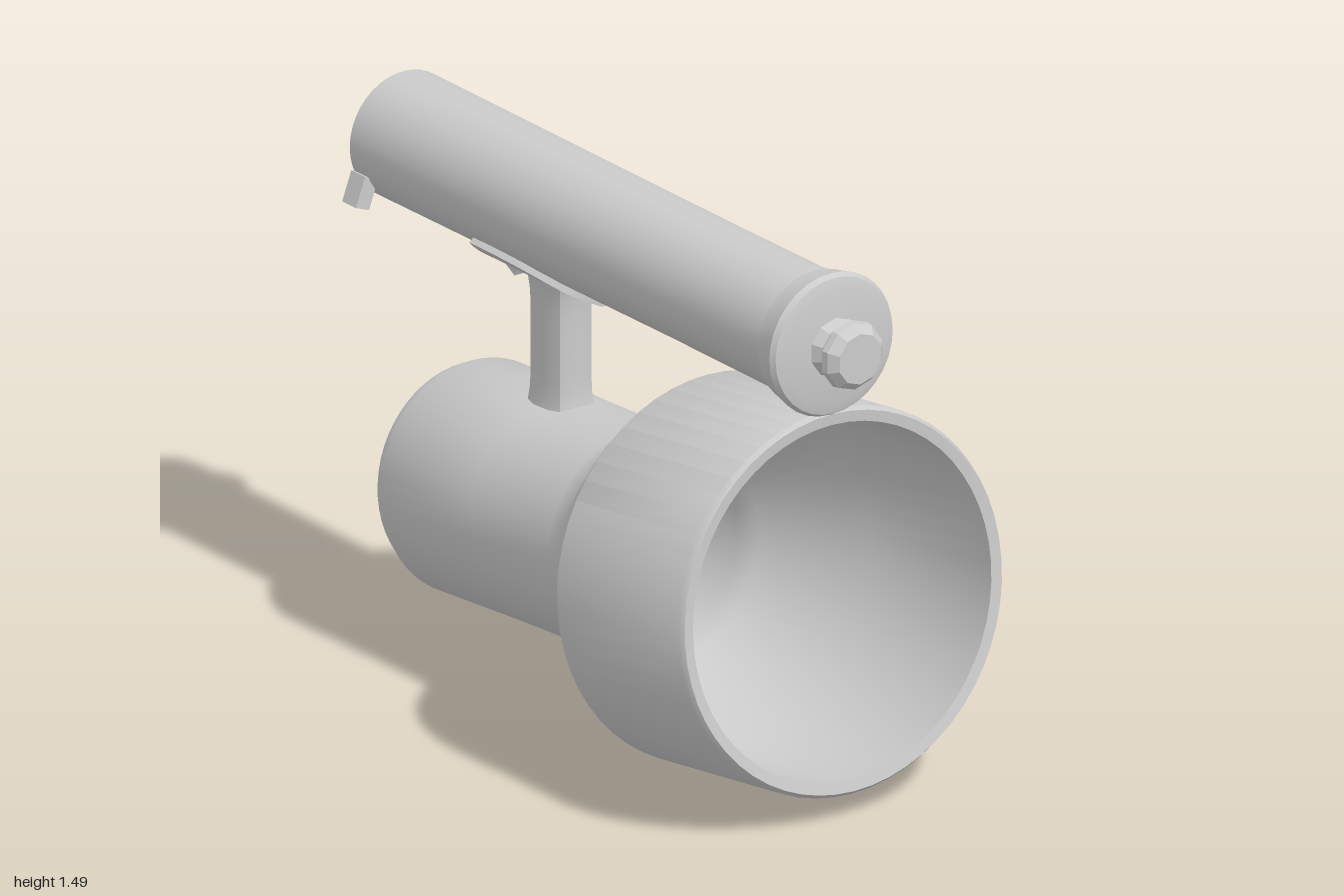
import * as THREE from 'three';
import { toCreasedNormals } from 'three/addons/utils/BufferGeometryUtils.js';

const material = new THREE.MeshStandardMaterial({ color: 0xcccccc, side: THREE.DoubleSide });

function add(parent, name, geometry, x = 0, y = 0, z = 0) {
  const mesh = new THREE.Mesh(geometry, material);
  mesh.name = name;
  mesh.position.set(x, y, z);
  parent.add(mesh);
  return mesh;
}

// Revolves [radius, z] pairs around the z axis
function turned(profile, segments) {
  const geometry = new THREE.LatheGeometry(profile.map(([r, z]) => new THREE.Vector2(r, z)), segments);
  return geometry.rotateX(Math.PI / 2);
}

// Height of the lamp body's axis along z: it rises towards the front
const axisKnots = [[-0.72, 0.44], [0.1, 0.485], [0.38, 0.52], [0.92, 0.59]];
function axisHeight(z) {
  let i = 0;
  while (i < 2 && z > axisKnots[i + 1][0]) i++;
  const [z0, y0] = axisKnots[i], [z1, y1] = axisKnots[i + 1];
  return y0 + (y1 - y0) * (z - z0) / (z1 - z0);
}

// Lets a straight turned part follow the rising axis, with tilted ends
function tilt(geometry) {
  const p = geometry.attributes.position;
  for (let i = 0; i < p.count; i++) {
    const y = p.getY(i), z = p.getZ(i);
    p.setXYZ(i, p.getX(i), y + axisHeight(z), z - 0.096 * y);
  }
  geometry.computeVertexNormals();
  return geometry;
}

export function createModel() {
  const model = new THREE.Group();
  model.name = 'handLamp';

  // Hollow lamp body: back, neck, flare, drum, rim, then the inside wall
  const body = [
    [0, -0.71], [0.17, -0.715], [0.26, -0.725], [0.295, -0.71], [0.312, -0.67],
    [0.305, -0.3], [0.303, 0.04], [0.312, 0.1], [0.345, 0.15], [0.49, 0.34], [0.518, 0.38],
    [0.518, 0.91], [0.508, 0.925], [0.478, 0.92],
    [0.472, 0.4], [0.3, 0.14], [0.28, 0.08], [0.28, -0.67], [0, -0.67],
  ];
  add(model, 'lampBody', toCreasedNormals(tilt(turned(body, 56)), 0.6));

  // Knob and flat pin on the back
  const knob = new THREE.Group();
  knob.name = 'rearKnob';
  knob.position.set(0, 0.42, -0.7);
  model.add(knob);
  add(knob, 'knobBase', toCreasedNormals(turned([[0, -0.1], [0.04, -0.095], [0.075, -0.05], [0.095, 0]], 8), 0.4));
  const pin = add(knob, 'knobPin', new THREE.CylinderGeometry(0.042, 0.038, 0.13, 6).toNonIndexed(), 0, -0.013, -0.135);
  pin.geometry.computeVertexNormals();
  pin.rotation.x = Math.PI / 2 - 0.1;
  pin.scale.x = 0.75;

  // Tubular handle with its front collar
  const tubeY = 1.292;
  const tube = [[0, -1], [0.172, -1], [0.17, -0.4], [0.168, 0.3], [0.17, 0.8]];
  add(model, 'handleTube', toCreasedNormals(turned(tube, 40), 0.6), 0, tubeY, 0);
  const collar = [[0.168, 0.785], [0.183, 0.8], [0.188, 0.83], [0.197, 0.87], [0.188, 0.885], [0.16, 0.893], [0, 0.89]];
  add(model, 'handleCollar', toCreasedNormals(turned(collar, 32), 0.6), 0, tubeY, 0);
  const button = [[0.085, 0.885], [0.065, 0.92], [0.095, 0.955], [0.092, 0.975], [0.07, 1], [0, 1]];
  add(model, 'frontButton', toCreasedNormals(turned(button, 10), 0.3), 0, tubeY - 0.002, 0);

  // Small lugs at the rear end of the handle
  for (const side of [-1, 1]) {
    const lug = add(model, side > 0 ? 'leftLug' : 'rightLug',
      new THREE.BoxGeometry(0.045, 0.085, 0.06), side * 0.162, 1.18, -0.968);
    lug.rotation.z = side * 0.35;
  }

  // Post between body and handle, flared at both ends and reaching into the body
  const post = new THREE.CylinderGeometry(1, 1, 0.44, 16, 10);
  const pp = post.attributes.position;
  for (let i = 0; i < pp.count; i++) {
    const y = pp.getY(i);
    const flare = 1 + 0.3 * Math.pow(Math.abs(y) / 0.22, 5);
    // Squared-off section
    const x = pp.getX(i), z = pp.getZ(i);
    const k = 1 / Math.max(0.001, Math.pow(x ** 4 + z ** 4, 0.25));
    const s = (Math.hypot(x, z) < 0.01 ? 0 : k) * flare;
    pp.setXYZ(i, x * s * 0.06, y, z * s * 0.076);
  }
  post.computeVertexNormals();
  add(model, 'post', toCreasedNormals(post, 0.7), 0, 0.935, -0.31);
  add(model, 'postFoot', new THREE.BoxGeometry(0.14, 0.08, 0.13), 0, 0.715, -0.31);

  // Saddle plate hugging the underside of the handle, narrowing to the front
  const saddle = new THREE.BoxGeometry(2, 0.03, 0.44, 14, 1, 12);
  const sp = saddle.attributes.position;
  for (let i = 0; i < sp.count; i++) {
    const z = sp.getZ(i);
    const t = (z + 0.22) / 0.44;
    const angle = sp.getX(i) * 0.88 * Math.sqrt(Math.max(0.08, 1 - t ** 3));
    const radius = 0.172 - sp.getY(i);
    sp.setXYZ(i, Math.sin(angle) * radius, -Math.cos(angle) * radius, z);
  }
  saddle.computeVertexNormals();
  add(model, 'saddle', toCreasedNormals(saddle, 0.7), 0, tubeY, -0.295);
  const catchLug = add(model, 'saddleCatch', new THREE.BoxGeometry(0.07, 0.05, 0.07), 0, 1.11, -0.485);
  catchLug.rotation.x = 0.5;

  return model;
}
